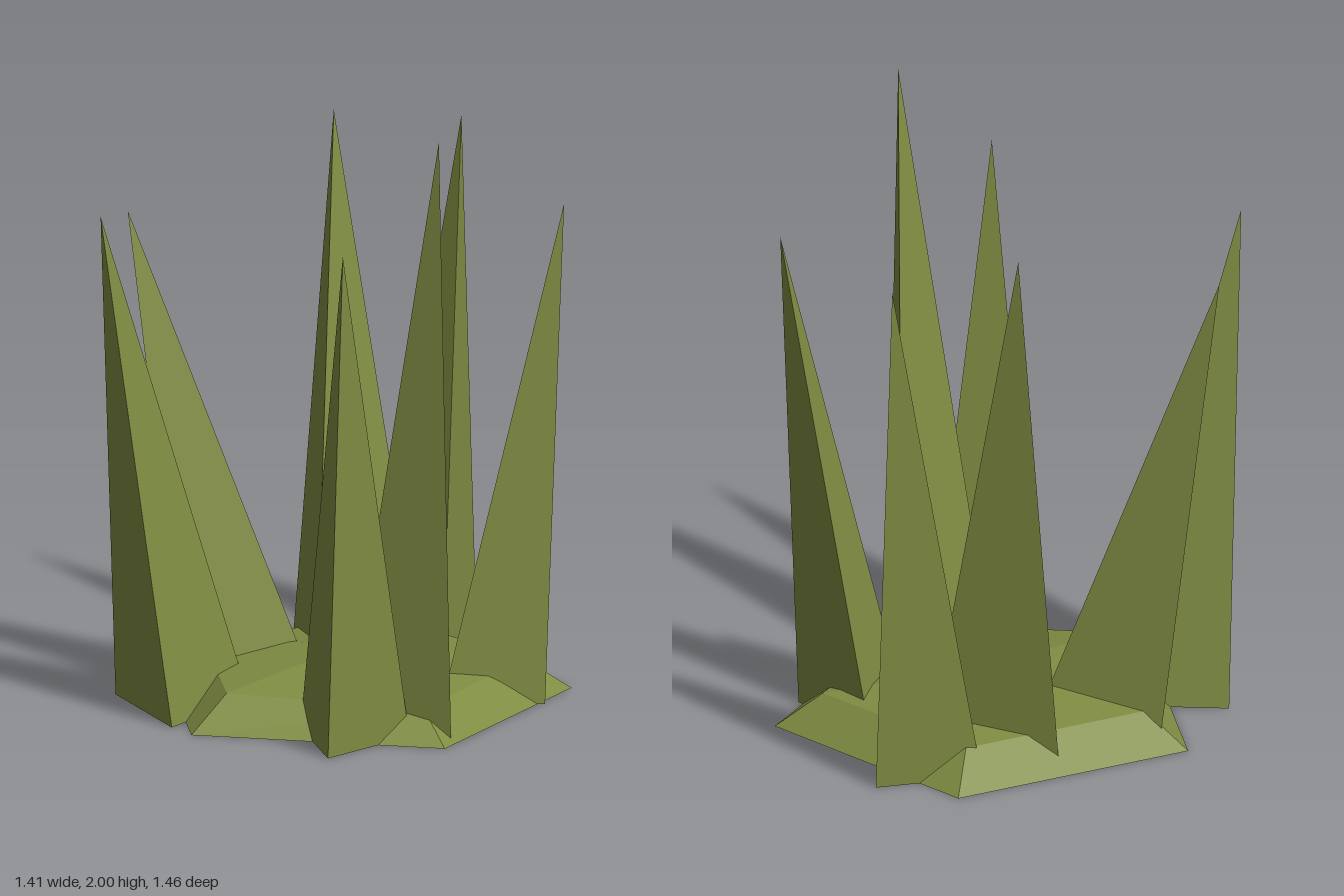
import * as THREE from 'three';

// Flat-sided geometry from a list of triangles (each three Vector3 corners).
function facets(triangles) {
  const geometry = new THREE.BufferGeometry().setFromPoints(triangles.flat());
  geometry.computeVertexNormals();
  return geometry;
}

// Three-sided spike: apex [x, y, z] and ground corners [x, z].
function spikeGeometry(apex, corners) {
  const tip = new THREE.Vector3(...apex);
  const base = corners.map(([x, z]) => new THREE.Vector3(x, 0, z));
  const up = base[1].clone().sub(base[0]).cross(base[2].clone().sub(base[0])).y;
  if (up < 0) base.reverse(); // counterclockwise from above
  const sides = base.map((p, i) => [p, base[(i + 1) % 3], tip]);
  return facets([...sides, [base[2], base[1], base[0]]]);
}

// Low five-sided mound: rim on the ground, shoulder ring, centre peak, flat underside.
function moundGeometry(rimPoints, shoulderHeights, peak, shrink) {
  const top = new THREE.Vector3(...peak);
  const ground = new THREE.Vector3(peak[0], 0, peak[2]);
  const rim = rimPoints.map(([x, z]) => new THREE.Vector3(x, 0, z));
  const ring = rim.map((p, i) => ground.clone().lerp(p, shrink).setY(shoulderHeights[i]));
  const triangles = [];
  rim.forEach((p, i) => {
    const j = (i + 1) % rim.length;
    triangles.push([p, rim[j], ring[j]], [p, ring[j], ring[i]]);
    triangles.push([ring[i], ring[j], top], [rim[j], p, ground]);
  });
  return facets(triangles);
}

export function createModel() {
  const group = new THREE.Group();
  group.name = 'spikyGrassTuft';
  const grass = new THREE.MeshStandardMaterial({ color: 0x7f8c42, flatShading: true });
  grass.name = 'grassGreen';

  const add = (name, geometry) => {
    const mesh = new THREE.Mesh(geometry, grass);
    mesh.name = name;
    group.add(mesh);
  };

  // Ground mound
  add('mound', moundGeometry(
    [[-0.015, -0.72], [-0.645, -0.18], [-0.33, 0.58], [0.495, 0.515], [0.69, -0.29]],
    [0.11, 0.11, 0.11, 0.09, 0.105],
    [0.035, 0.17, -0.02], 0.78));

  // Blades: name, apex, ground corners
  const blades = [
    ['leftMiddleBlade', [-0.705, 1.56, 0], [[-0.113, -0.1], [-0.457, 0.187], [-0.548, -0.173]]],
    ['leftFrontBlade', [-0.683, 1.65, 0.4], [[-0.695, 0.18], [-0.27, 0.11], [-0.415, 0.51]]],
    ['backInnerBlade', [-0.163, 1.8, -0.51], [[-0.278, -0.422], [0.168, -0.392], [-0.085, -0.02]]],
    ['backOuterBlade', [0.2, 1.75, -0.73], [[0.262, -0.695], [-0.05, -0.535], [0.246, -0.34]]],
    ['frontBlade', [0.212, 1.67, 0.715], [[0.166, 0.727], [-0.015, 0.41], [0.348, 0.41]]],
    ['tallBlade', [0.46, 2, 0.46], [[0.36, 0.09], [0.127, 0.381], [0.495, 0.44]]],
    ['rightBlade', [0.705, 1.65, -0.15], [[0.38, -0.28], [0.352, 0.056], [0.66, -0.085]]],
  ];
  for (const [name, apex, corners] of blades) add(name, spikeGeometry(apex, corners));

  return group;
}
